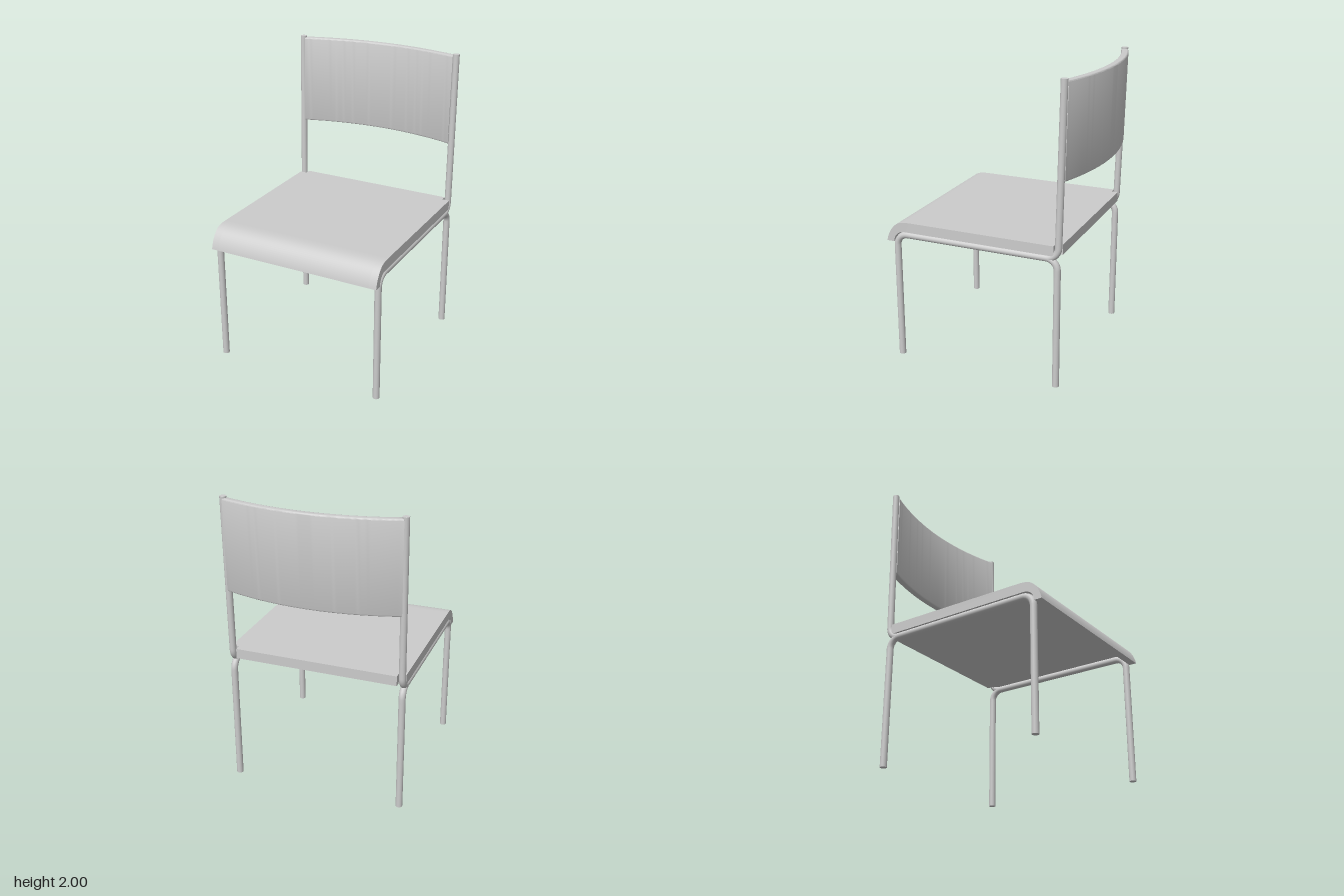
import * as THREE from 'three';
import { toCreasedNormals } from 'three/addons/utils/BufferGeometryUtils.js';

const grey = new THREE.MeshStandardMaterial({ color: 0xcccccc });
const TUBE_R = 0.0225;

function addMesh(parent, geometry, name) {
  const mesh = new THREE.Mesh(geometry, grey);
  mesh.name = name;
  parent.add(mesh);
  return mesh;
}

// Bent steel tube through [y, z] corners at a fixed x, with rounded bends and flat end caps
function bentTube(parent, name, x, corners, bend) {
  const pts = corners.map(([y, z]) => new THREE.Vector3(x, y, z));
  const path = new THREE.CurvePath();
  let from = pts[0];
  for (let i = 1; i < pts.length - 1; i++) {
    const p = pts[i];
    const a = pts[i - 1].clone().sub(p).setLength(bend).add(p);
    const b = pts[i + 1].clone().sub(p).setLength(bend).add(p);
    path.add(new THREE.LineCurve3(from, a));
    const k = 0.55; // cubic handles close to a circular bend
    path.add(new THREE.CubicBezierCurve3(a, a.clone().lerp(p, k), b.clone().lerp(p, k), b));
    from = b;
  }
  path.add(new THREE.LineCurve3(from, pts[pts.length - 1]));
  const group = new THREE.Group();
  group.name = name;
  parent.add(group);
  addMesh(group, new THREE.TubeGeometry(path, 140, TUBE_R, 16), name + 'Tube');
  const last = pts.length - 1;
  for (const [end, next] of [[0, 1], [last, last - 1]]) {
    const cap = addMesh(group, new THREE.CircleGeometry(TUBE_R, 16), name + 'Cap');
    const outward = pts[end].clone().sub(pts[next]).normalize();
    cap.position.copy(pts[end]);
    cap.quaternion.setFromUnitVectors(new THREE.Vector3(0, 0, 1), outward);
  }
}

// Side profile of the seat (z, y) with a front lip that rolls down, extruded across x
function seatSlab(parent, name, x0, x1, backZ) {
  const s = new THREE.Shape();
  s.moveTo(backZ, 0.9);
  s.lineTo(0.54, 0.9);
  s.bezierCurveTo(0.59, 0.9, 0.615, 0.87, 0.62, 0.825);
  s.lineTo(0.672, 0.825);
  s.bezierCurveTo(0.662, 0.88, 0.625, 0.945, 0.575, 0.959);
  s.quadraticCurveTo(0.55, 0.967, 0.5, 0.967);
  s.lineTo(backZ, 0.967);
  s.closePath();
  const geo = new THREE.ExtrudeGeometry(s, { depth: x1 - x0, bevelEnabled: false, curveSegments: 14 });
  geo.rotateY(-Math.PI / 2); // profile z axis now along +z, depth along -x
  geo.translate(x1, 0, 0);
  addMesh(parent, toCreasedNormals(geo, 0.6), name);
}

function backrest(parent) {
  const R = 1.757, half = 0.014, ang = 0.325, bevel = 0.01, y0 = 1.378, y1 = 1.99;
  const s = new THREE.Shape();
  s.absarc(0, -1.112, R + half, Math.PI / 2 - ang, Math.PI / 2 + ang, false);
  s.absarc(0, -1.112, R - half, Math.PI / 2 + ang, Math.PI / 2 - ang, true);
  s.closePath();
  const geo = new THREE.ExtrudeGeometry(s, {
    depth: y1 - y0 - 2 * bevel, curveSegments: 32,
    bevelEnabled: true, bevelSize: bevel, bevelThickness: bevel, bevelSegments: 3,
  });
  geo.rotateX(-Math.PI / 2);
  geo.translate(0, y0 + bevel, 0);
  // lean the panel back along with the uprights
  const p = geo.attributes.position;
  for (let i = 0; i < p.count; i++) p.setZ(i, p.getZ(i) + (1.9 - p.getY(i)) * 0.018);
  addMesh(parent, toCreasedNormals(geo, 0.6), 'backrest');
}

export function createModel() {
  const chair = new THREE.Group();
  chair.name = 'chair';

  // Seat: main slab plus side strips that stop short of the uprights
  const seat = new THREE.Group();
  seat.name = 'seat';
  chair.add(seat);
  seatSlab(seat, 'seatCentre', -0.55, 0.55, -0.545);
  seatSlab(seat, 'leftSeatEdge', 0.55, 0.6, -0.502);
  seatSlab(seat, 'rightSeatEdge', -0.6, -0.55, -0.502);

  // Tubular frame on both sides
  for (const [side, sx] of [['left', 1], ['right', -1]]) {
    const x = sx * 0.581;
    bentTube(chair, side + 'LegFrame', x,
      [[0, 0.603], [0.877, 0.603], [0.877, -0.522], [0, -0.522]], 0.075);
    bentTube(chair, side + 'Upright', x,
      [[0.877, -0.4], [0.877, -0.527], [2, -0.549]], 0.075);
  }

  backrest(chair);
  return chair;
}
